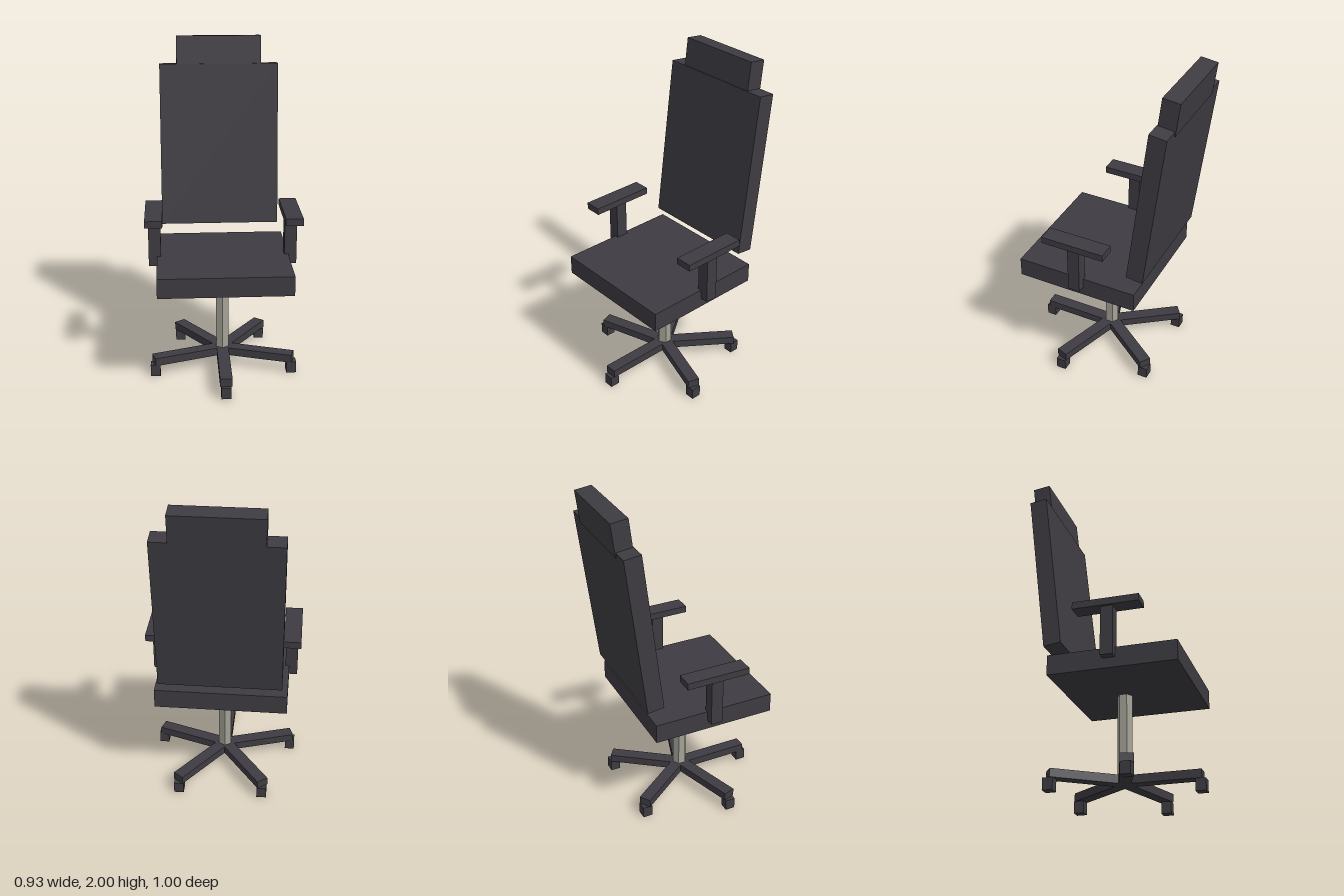
import * as THREE from 'three';

export function createModel() {
  const chair = new THREE.Group();
  chair.name = 'officeChair';
  const charcoal = new THREE.MeshStandardMaterial({ color: 0x3e3c42 });
  charcoal.name = 'charcoal';
  const steel = new THREE.MeshStandardMaterial({ color: 0xa5a397, flatShading: true });
  steel.name = 'steel';

  const box = (name, [w, h, d], [x, y, z], parent = chair) => {
    const mesh = new THREE.Mesh(new THREE.BoxGeometry(w, h, d), charcoal);
    mesh.name = name;
    mesh.position.set(x, y, z);
    parent.add(mesh);
    return mesh;
  };

  // Seat, leaning backrest and headrest
  const lean = THREE.MathUtils.degToRad(-7);
  box('seat', [0.794, 0.12, 0.76], [0, 0.69, 0.07]);
  box('backrest', [0.73, 1.0, 0.105], [0, 1.329, -0.357]).rotation.x = lean;
  box('headrest', [0.52, 0.2, 0.105], [0, 1.894, -0.431]).rotation.x = lean;

  // Armrests
  for (const [side, s] of [['left', 1], ['right', -1]]) {
    box(side + 'ArmPost', [0.074, 0.3, 0.074], [s * 0.41, 0.84, 0.057]);
    box(side + 'ArmPad', [0.104, 0.042, 0.395], [s * 0.412, 1.008, 0.054]);
  }

  // Hexagonal gas column
  const column = new THREE.Mesh(new THREE.CylinderGeometry(0.045, 0.045, 0.49, 6), steel);
  column.name = 'column';
  column.position.set(0, 0.365, 0.03);
  chair.add(column);

  // Five-legged base with square casters that stay aligned with the chair
  const base = new THREE.Group();
  base.name = 'base';
  base.position.z = 0.03;
  chair.add(base);
  for (let i = 0; i < 5; i++) {
    const a = (i * Math.PI * 2) / 5;
    const sx = Math.sin(a), cz = Math.cos(a);
    box('baseLeg', [0.074, 0.05, 0.45], [sx * 0.225, 0.096, cz * 0.225], base).rotation.y = a;
    box('caster', [0.06, 0.071, 0.06], [sx * 0.441, 0.0355, cz * 0.441], base);
  }
  return chair;
}
